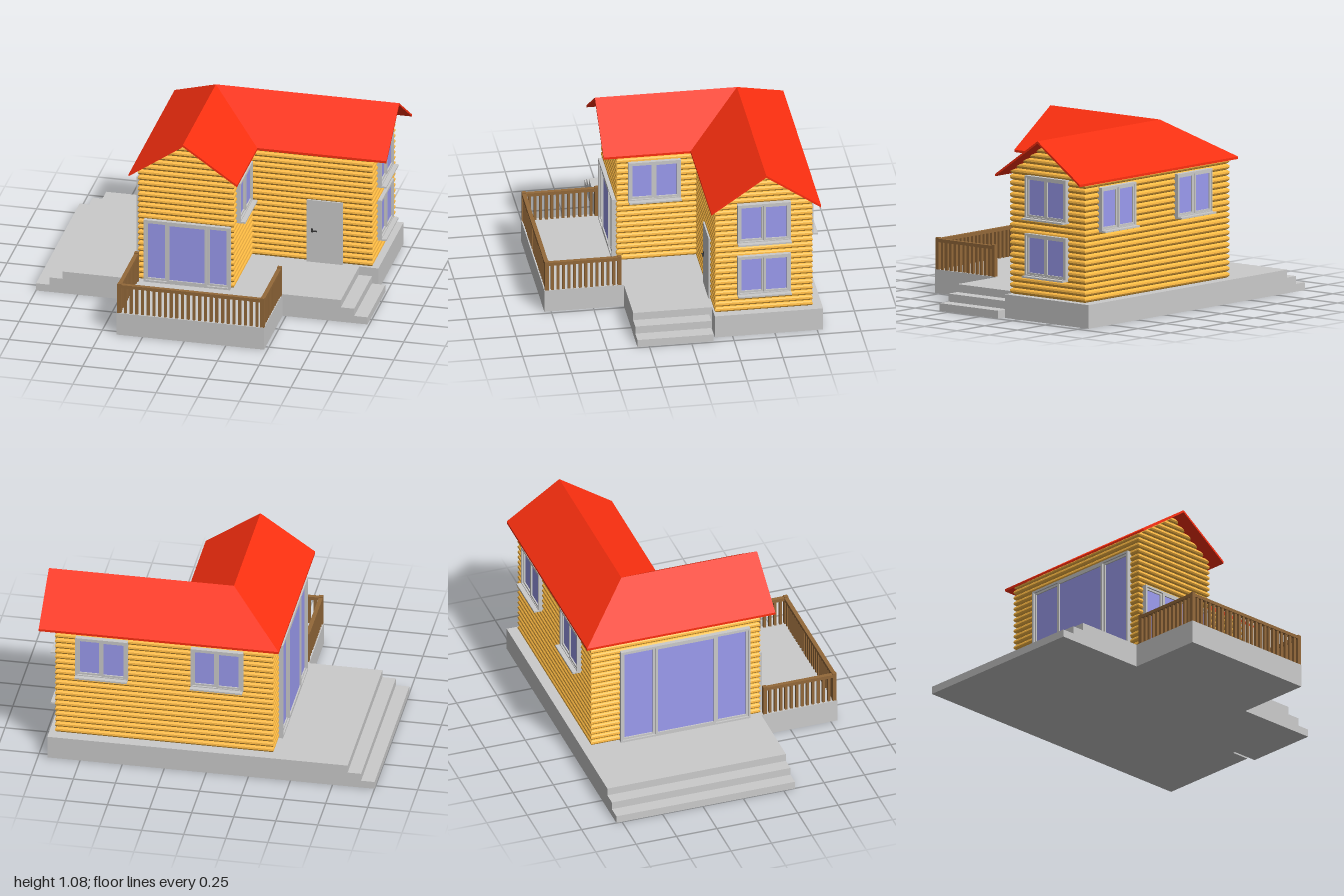
import * as THREE from 'three';

const mat = (color, flatShading = false) => new THREE.MeshStandardMaterial({ color, flatShading });
const grey = mat(0xcccccc), wood = mat(0xffbb44, true), red = mat(0xff3010, true);
const glassMat = mat(0x9c9cf0), brown = mat(0x94693a), dark = mat(0x333333);

// House plan: ridges at x = RX (front wing) and z = RZ (side wing)
const RX = -0.1, RZ = -0.44, HALF = 0.29, SIDE = 0.91, FRONT = 0.32;
const FLOOR = 0.14, SLOPE = 0.692, RIDGE = 1.08, ROOF_T = 0.014;

function mesh(parent, name, geo, material) {
  const m = new THREE.Mesh(geo, material);
  m.name = name;
  parent.add(m);
  return m;
}

// Box given by its lower and upper corners
function box(parent, name, material, [x0, y0, z0], [x1, y1, z1]) {
  const m = mesh(parent, name, new THREE.BoxGeometry(x1 - x0, y1 - y0, z1 - z0), material);
  m.position.set((x0 + x1) / 2, (y0 + y1) / 2, (z0 + z1) / 2);
  return m;
}

function facets(points, index) {
  const g = new THREE.BufferGeometry();
  g.setAttribute('position', new THREE.Float32BufferAttribute(points.flat(), 3));
  g.setIndex(index);
  const flat = g.toNonIndexed();
  flat.computeVertexNormals();
  return flat;
}

// L-shaped stack of logs, narrowing to the ridge above the eaves
function logWalls() {
  const count = 26, pitch = (RIDGE - ROOF_T - 0.004 - FLOOR) / count;
  const log = [[0, 0.016], [0.2, 0.005], [0.45, 0], [0.75, 0.002], [0.93, 0.009]];
  const points = [], index = [];
  const ring = (y, d) => {
    const w = Math.max(0.002, Math.min(HALF, (RIDGE - ROOF_T - 0.003 - y) / SLOPE) - d);
    const l = RX - w, r = RX + w, b = RZ - w, f = RZ + w, s = SIDE - d, e = FRONT - d;
    [[l, b], [s, b], [s, f], [r, f], [r, e], [l, e]].forEach(([x, z]) => points.push([x, y, z]));
  };
  for (let i = 0; i < count; i++) log.forEach(([t, d]) => ring(FLOOR + (i + t) * pitch, d));
  ring(FLOOR + count * pitch, 0.016);
  for (let a = 0; a + 6 < points.length; a += 6) {
    for (let j = 0; j < 6; j++) {
      const k = (j + 1) % 6;
      index.push(a + j, a + 6 + j, a + 6 + k, a + j, a + 6 + k, a + k);
    }
  }
  return facets(points, index);
}

// Hip-and-valley roof slab with two gable ends
function roof() {
  const h = 0.325, e = RIDGE - h * SLOPE, s = 1, f = 0.4;
  const top = [
    [RX, RIDGE, RZ],
    [RX - h, e, RZ - h], [RX - h, e, f], [RX, RIDGE, f], [RX + h, e, f],
    [RX + h, e, RZ + h], [s, e, RZ + h], [s, RIDGE, RZ], [s, e, RZ - h],
  ];
  const points = [...top, ...top.map(([x, y, z]) => [x, y - ROOF_T, z])];
  const index = [];
  for (const [a, b, c, d] of [[0, 1, 2, 3], [0, 3, 4, 5], [0, 5, 6, 7], [0, 7, 8, 1]]) {
    index.push(a, b, c, a, c, d, a + 9, c + 9, b + 9, a + 9, d + 9, c + 9);
  }
  for (let i = 1; i <= 8; i++) {
    const j = (i % 8) + 1;
    index.push(i, i + 9, j + 9, i, j + 9, j);
  }
  return facets(points, index);
}

function frame(x0, y0, x1, y1, border, depth) {
  const rect = (P, b) => {
    const p = new P();
    p.moveTo(x0 + b, y0 + b).lineTo(x1 - b, y0 + b).lineTo(x1 - b, y1 - b).lineTo(x0 + b, y1 - b).closePath();
    return p;
  };
  const s = rect(THREE.Shape, 0);
  s.holes.push(rect(THREE.Path, border));
  return new THREE.ExtrudeGeometry(s, { depth, bevelEnabled: false });
}

// Glazed opening facing +z, bottom centre at the origin; sashes = [width share, forward offset]
function glazing(name, w, h, sashes, sill) {
  const g = new THREE.Group();
  g.name = name;
  mesh(g, 'outerFrame', frame(-w / 2, 0, w / 2, h, 0.012, 0.04), grey).position.z = -0.018;
  let x = -w / 2 + 0.01;
  for (const [share, off] of sashes) {
    const x1 = x + share * (w - 0.02);
    mesh(g, 'sash', frame(x, 0.01, x1, h - 0.01, 0.014, 0.02), grey).position.z = off - 0.008;
    box(g, 'glass', glassMat, [x + 0.012, 0.022, off - 0.008], [x1 - 0.012, h - 0.022, off + 0.004]);
    x = x1;
  }
  if (sill) box(g, 'sill', grey, [-w / 2, -0.004, -0.01], [w / 2, 0.006, 0.05]);
  return g;
}

// Railing run between two points on the deck
function railing([x0, z0], [x1, z1]) {
  const g = new THREE.Group(), len = Math.hypot(x1 - x0, z1 - z0), n = Math.round(len / 0.034);
  g.name = 'railing';
  box(g, 'topRail', brown, [0, 0.302, -0.012], [len, 0.322, 0.012]);
  for (let i = 0; i <= n; i++) {
    const x = (i / n) * len, end = i === 0 || i === n, r = end ? 0.012 : 0.008;
    box(g, end ? 'post' : 'baluster', brown, [x - r, FLOOR, -r], [x + r, end ? 0.328 : 0.305, r]);
  }
  g.position.set(x0, 0, z0);
  g.rotation.y = -Math.atan2(z1 - z0, x1 - x0);
  return g;
}

export function createModel() {
  const house = new THREE.Group();
  house.name = 'logHouse';

  // Foundation and terraces
  const plan = [[-0.84, -0.785], [0.945, -0.785], [0.945, -0.145], [0.83, -0.145], [0.83, 0.32],
    [0.48, 0.32], [0.48, 0.79], [-0.405, 0.79], [-0.405, 0.32], [-0.84, 0.32]];
  const slab = new THREE.ExtrudeGeometry(new THREE.Shape(plan.map(([x, z]) => new THREE.Vector2(x, z))),
    { depth: FLOOR, bevelEnabled: false });
  slab.rotateX(Math.PI / 2).translate(0, FLOOR, 0);
  mesh(house, 'foundation', slab, grey);

  // Steps at both ends
  [0.093, 0.046].forEach((y, i) => {
    const a = 0.08 * i, b = a + 0.08;
    box(house, 'leftTerraceStep', grey, [-0.84 - b, 0, -0.785], [-0.84 - a, y, 0.32]);
    box(house, 'entranceStep', grey, [0.83 + a, 0, -0.13], [0.83 + b, y, 0.32]);
  });

  mesh(house, 'logWalls', logWalls(), wood);
  mesh(house, 'roof', roof(), red);

  // Windows and patio doors: name, size, position, turn
  const pair = [[0.49, 0], [0.51, 0.006]], triple = [[0.26, 0], [0.48, 0.01], [0.26, 0]];
  const openings = [
    ['wingWindow', 0.31, 0.255, [RX + HALF, 0.54, 0.095], 1, pair],
    ['upperSideWindow', 0.315, 0.255, [SIDE, 0.6, RZ], 1, pair],
    ['lowerSideWindow', 0.315, 0.255, [SIDE, 0.258, RZ], 1, pair],
    ['backWindow', 0.31, 0.26, [-0.055, 0.55, RZ - HALF], 2, pair],
    ['backWindow', 0.31, 0.26, [0.63, 0.55, RZ - HALF], 2, pair],
    ['frontPatioDoor', 0.52, 0.4, [-0.09, FLOOR, FRONT], 0, triple],
    ['leftPatioDoor', 0.8, 0.63, [RX - HALF, FLOOR, -0.15], 3, triple],
  ];
  for (const [name, w, h, pos, turn, sashes] of openings) {
    const g = glazing(name, w, h, sashes, sashes === pair);
    g.position.set(...pos);
    g.rotation.y = (turn * Math.PI) / 2;
    house.add(g);
  }

  // Entrance door with handle
  const wallZ = RZ + HALF;
  box(house, 'entranceDoor', grey, [0.515, FLOOR, wallZ - 0.02], [0.73, 0.54, wallZ + 0.008]);
  box(house, 'handlePlate', dark, [0.541, 0.334, wallZ + 0.008], [0.553, 0.358, wallZ + 0.012]);
  box(house, 'doorHandle', dark, [0.543, 0.341, wallZ + 0.012], [0.578, 0.347, wallZ + 0.02]);

  // Terrace railings
  house.add(railing([-0.39, 0.775], [0.468, 0.775]));
  house.add(railing([-0.39, 0.345], [-0.39, 0.775]));
  house.add(railing([0.468, 0.345], [0.468, 0.775]));
  return house;
}
